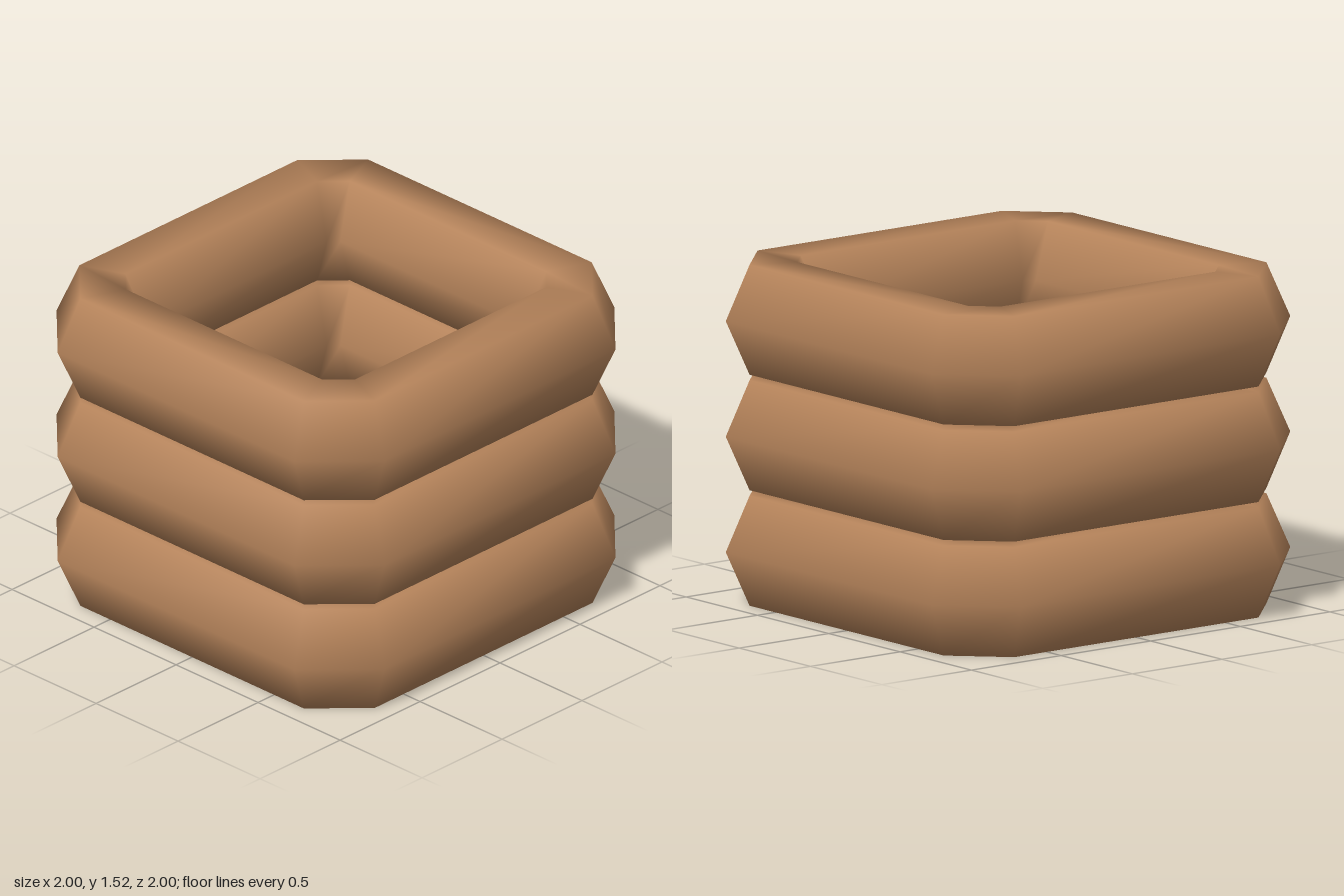
import * as THREE from 'three';

const SIDES = 6;          // sides of the bar's cross-section
const HALF_WIDTH = 0.2;   // horizontal half width of a bar
const HALF_HEIGHT = 0.245;
const PITCH = 0.515;      // spacing of the stacked rings

// One square ring with cut corners: a hexagonal section mitred at eight corners
function ringGeometry() {
  const positions = [];
  const index = [];
  const ry = HALF_HEIGHT / Math.sin(Math.PI / 3);
  for (let corner = 0; corner < 8; corner++) {
    const turn = Math.floor(corner / 2) * Math.PI / 2;
    const side = corner % 2 ? 1 : -1; // each straight side runs from -x to +x, then turns
    for (let k = 0; k < SIDES; k++) {
      const a = (k / SIDES) * Math.PI * 2;
      const x = side * (0.64 + 0.082 * Math.cos(a));
      const z = 0.8 + HALF_WIDTH * Math.cos(a);
      positions.push(
        x * Math.cos(turn) + z * Math.sin(turn),
        ry * Math.sin(a),
        z * Math.cos(turn) - x * Math.sin(turn)
      );
      const next = ((corner + 1) % 8) * SIDES;
      const here = corner * SIDES;
      const k2 = (k + 1) % SIDES;
      index.push(here + k, next + k, next + k2, here + k, next + k2, here + k2);
    }
  }
  const geometry = new THREE.BufferGeometry();
  geometry.setAttribute('position', new THREE.Float32BufferAttribute(positions, 3));
  geometry.setIndex(index);
  geometry.computeVertexNormals();
  return geometry;
}

export function createModel() {
  const group = new THREE.Group();
  group.name = 'stackedRings';
  const wood = new THREE.MeshStandardMaterial({ color: 0xb5835a });
  wood.name = 'warm brown';

  // Three identical rings, stacked with a small gap
  const geometry = ringGeometry();
  ['lowerRing', 'middleRing', 'upperRing'].forEach((name, i) => {
    const ring = new THREE.Mesh(geometry, wood);
    ring.name = name;
    ring.position.y = HALF_HEIGHT + i * PITCH;
    group.add(ring);
  });
  return group;
}
